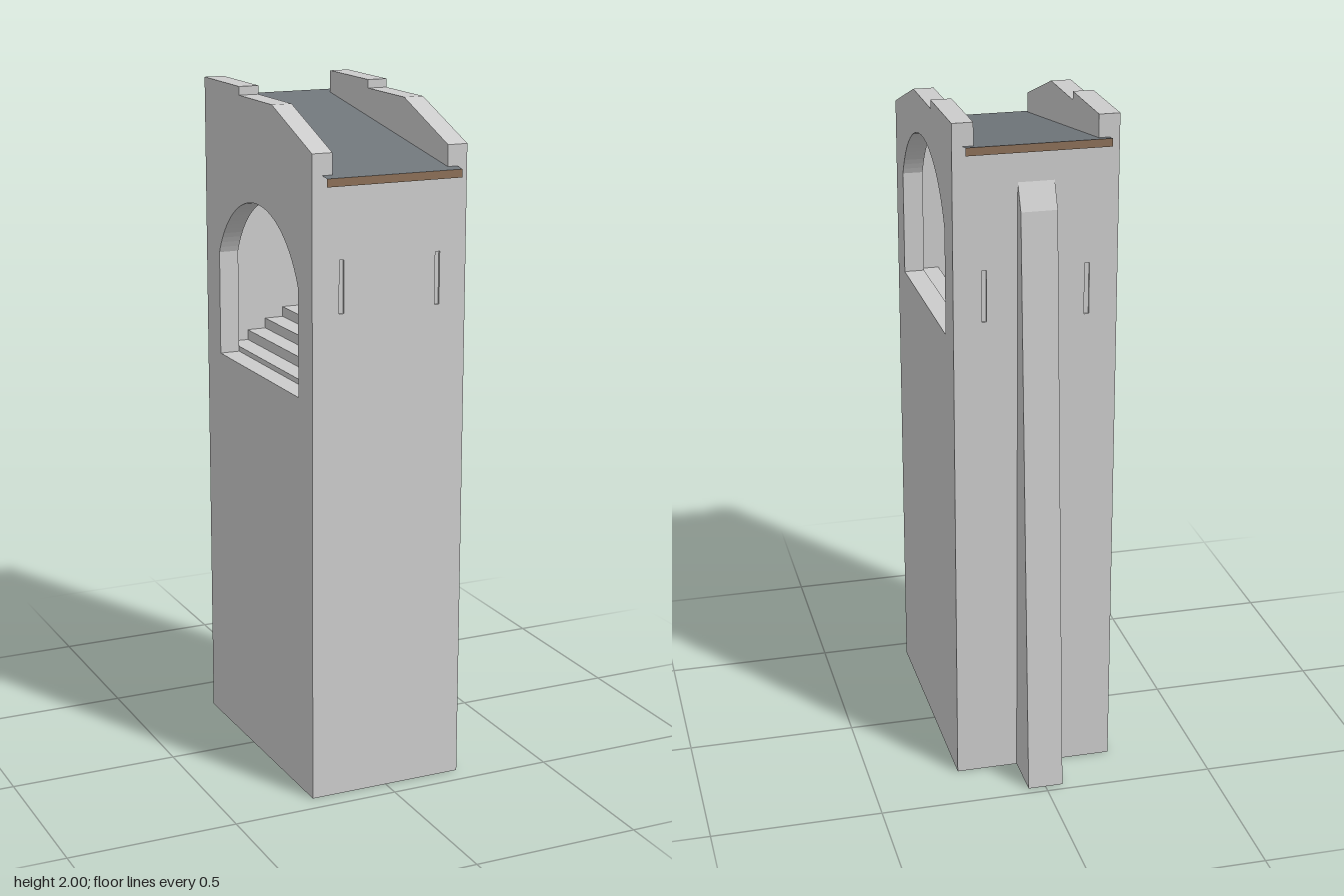
import * as THREE from 'three';

const stone = new THREE.MeshStandardMaterial({ color: 0xcccccc });
const slate = new THREE.MeshStandardMaterial({ color: 0x70767b });
const timber = new THREE.MeshStandardMaterial({ color: 0x8c7058 });

export function createModel() {
  const tower = new THREE.Group();
  tower.name = 'tower';

  const add = (name, geometry, material = stone) => {
    const mesh = new THREE.Mesh(geometry, material);
    mesh.name = name;
    tower.add(mesh);
    return mesh;
  };
  const box = (name, x0, x1, y0, y1, z0, z1) =>
    add(name, new THREE.BoxGeometry(x1 - x0, y1 - y0, z1 - z0))
      .position.set((x0 + x1) / 2, (y0 + y1) / 2, (z0 + z1) / 2);
  const outline = (points) => new THREE.Shape(points.map(([a, b]) => new THREE.Vector2(a, b)));
  // Extrudes a side profile (first coordinate is -z) from x0 over the given width
  const sideExtrude = (name, shape, x0, width) => {
    const g = new THREE.ExtrudeGeometry(shape, { depth: width, bevelEnabled: false, curveSegments: 20 });
    g.rotateY(Math.PI / 2).translate(x0, 0, 0);
    return add(name, g);
  };

  // Side walls with stepped parapets; the right opening sits lower than the left
  const sillLeft = 1.365, sillRight = 1.18;
  const half = 0.2875, rise = 0.19, mid = -0.058;
  const radius = (half * half + rise * rise) / (2 * rise);
  const sideWall = (name, x0, sill) => {
    const shape = outline([[-0.44, 0], [0.33, 0], [0.33, 2], [0.065, 2], [0.065, 1.975], [-0.17, 1.975], [-0.44, 1.875]]);
    const angle = Math.asin(half / radius);
    const hole = new THREE.Path();
    hole.moveTo(mid - half, sill);
    hole.lineTo(mid + half, sill);
    hole.lineTo(mid + half, sill + 0.31);
    hole.absarc(mid, sill + 0.5 - radius, radius, Math.PI / 2 - angle, Math.PI / 2 + angle, false);
    hole.lineTo(mid - half, sill);
    shape.holes.push(hole);
    sideExtrude(name, shape, x0, 0.06);
  };
  sideWall('leftWall', 0.175, sillLeft);
  sideWall('rightWall', -0.235, sillRight);

  // Front and back walls: a thin face with two shallow slits over a solid backing
  const endWall = (name, z, dir, top) => {
    const shape = outline([[-0.175, 0], [0.175, 0], [0.175, top], [-0.175, top]]);
    for (const x of [-0.147, 0.147]) {
      const slit = new THREE.Path();
      slit.moveTo(x - 0.007, 1.43);
      slit.lineTo(x + 0.007, 1.43);
      slit.lineTo(x + 0.007, 1.58);
      slit.lineTo(x - 0.007, 1.58);
      slit.closePath();
      shape.holes.push(slit);
    }
    const g = new THREE.ExtrudeGeometry(shape, { depth: 0.006, bevelEnabled: false });
    g.translate(0, 0, dir > 0 ? z - 0.006 : z);
    add(name, g);
    const a = z - dir * 0.006, b = z - dir * 0.03;
    box(name + 'Backing', -0.175, 0.175, 0, top, Math.min(a, b), Math.max(a, b));
  };
  endWall('frontWall', 0.44, 1, 1.79);
  endWall('backWall', -0.33, -1, 1.915);

  // Stairs rising inside from the right sill to the left sill
  const steps = 6, tread = 0.35 / steps, riser = (sillLeft - sillRight) / steps;
  for (let i = 0; i < steps; i++) {
    const x = -0.175 + i * tread, y = sillRight + (i + 0.5) * riser;
    box('step', x, x + tread, y - riser - 0.02, y, -0.3, 0.41);
  }

  // Tapered buttress on the back
  sideExtrude('buttress', outline([[0.33, 0], [0.475, 0], [0.365, 1.75], [0.33, 1.825]]), -0.052, 0.104);

  // Sloping roof between the parapets, with open ends and timber edges
  const strip = (name, [y0, z0], [y1, z1], material) => {
    const w = 0.205;
    const g = new THREE.BufferGeometry();
    g.setAttribute('position', new THREE.Float32BufferAttribute(
      [-w, y0, z0, w, y0, z0, w, y1, z1, -w, y1, z1], 3));
    g.setIndex([0, 1, 2, 0, 2, 3]);
    g.computeVertexNormals();
    add(name, g, material);
  };
  const frontTop = [1.81, 0.47], backTop = [1.94, -0.365];
  const frontLow = [1.787, 0.47], backLow = [1.917, -0.365];
  strip('roofTop', frontTop, backTop, slate);
  strip('roofFrontEdge', frontLow, frontTop, timber);
  strip('roofBackEdge', backTop, backLow, timber);
  strip('roofUnderside', backLow, frontLow, timber);

  return tower;
}
